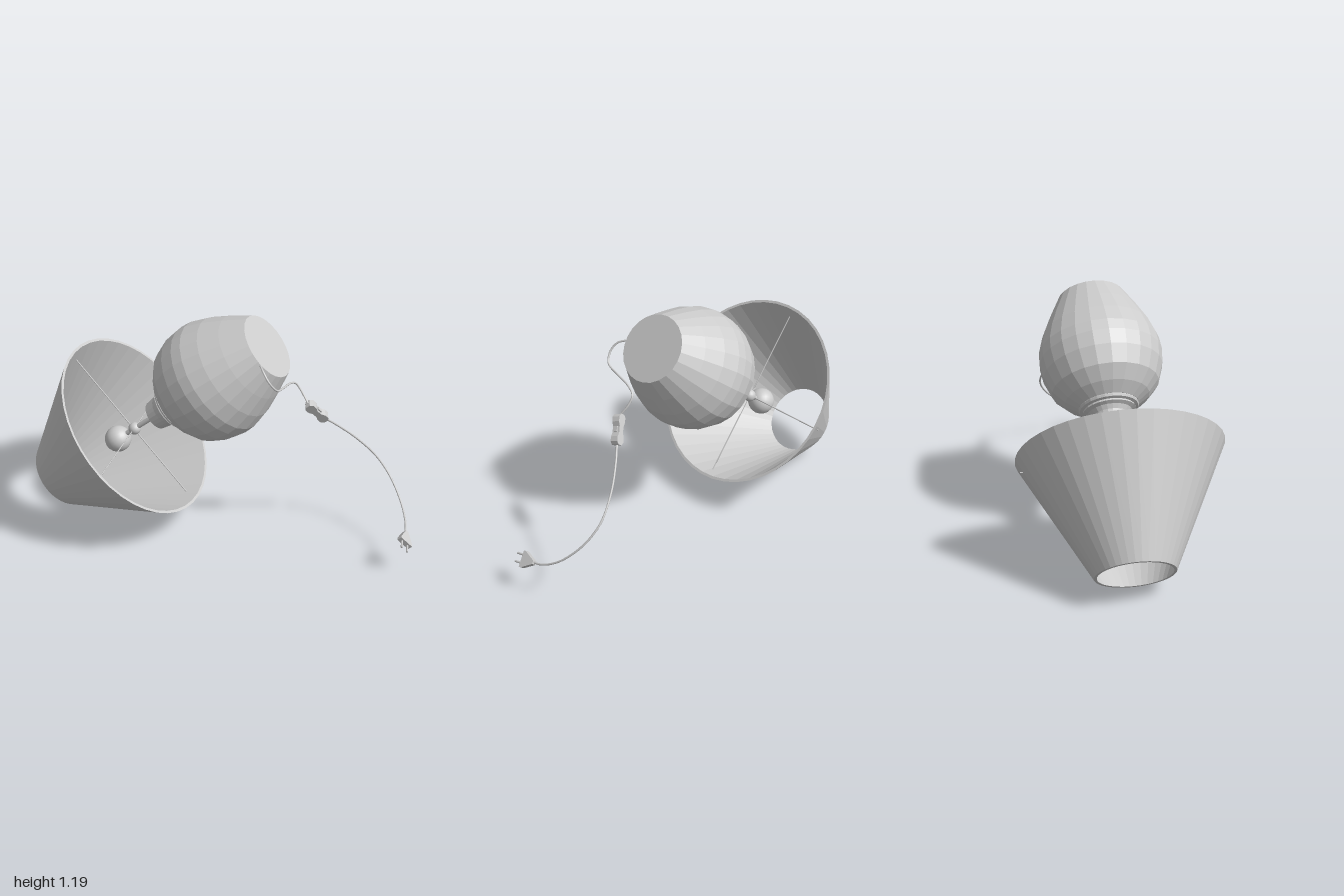
import * as THREE from 'three';

const grey = new THREE.MeshStandardMaterial({ color: 0xcccccc });
grey.name = 'light grey';
const V = (x, y, z) => new THREE.Vector3(x, y, z);

function add(parent, name, geometry, x = 0, y = 0, z = 0) {
  const mesh = new THREE.Mesh(geometry, grey);
  mesh.name = name;
  mesh.position.set(x, y, z);
  parent.add(mesh);
  return mesh;
}

// Gives every face its own flat normal
function faceted(geometry) {
  const g = geometry.index ? geometry.toNonIndexed() : geometry;
  g.computeVertexNormals();
  return g;
}

const lathe = (points, sides) =>
  faceted(new THREE.LatheGeometry(points.map(([r, y]) => new THREE.Vector2(r, y)), sides));

// Group whose local y axis runs from one point towards another
function along(name, from, to) {
  const group = new THREE.Group();
  group.name = name;
  group.position.copy(from);
  group.quaternion.setFromUnitVectors(V(0, 1, 0), to.clone().sub(from).normalize());
  return group;
}

// Group with local x = width, y = forward, z = thickness
function framed(name, position, forward, width) {
  const group = new THREE.Group();
  group.name = name;
  group.position.copy(position);
  const y = forward.clone().normalize();
  const z = width.clone().cross(y).normalize();
  const x = y.clone().cross(z);
  group.quaternion.setFromRotationMatrix(new THREE.Matrix4().makeBasis(x, y, z));
  return group;
}

// Flat outline extruded evenly about z = 0
function plate(points, depth) {
  const shape = new THREE.Shape(points.map(([x, y]) => new THREE.Vector2(x, y)));
  return new THREE.ExtrudeGeometry(shape, { depth, bevelEnabled: false }).translate(0, 0, -depth / 2);
}

const cord = (points) =>
  new THREE.TubeGeometry(new THREE.CatmullRomCurve3(points.map((p) => V(...p))), 64, 0.005, 8);

export function createModel() {
  const model = new THREE.Group();
  model.name = 'tableLamp';

  // Vase-shaped foot, seen from its base along the lamp axis
  const lamp = along('lamp', V(0.225, 1.065, -0.02), V(-0.8775, 0.145, -0.012));
  model.add(lamp);
  add(lamp, 'body', lathe([
    [0, 0], [0.164, 0], [0.222, 0.109], [0.267, 0.205], [0.294, 0.29], [0.298, 0.345],
    [0.289, 0.417], [0.257, 0.502], [0.202, 0.561], [0.145, 0.6], [0, 0.6],
  ], 24));
  add(lamp, 'neck', lathe([
    [0, 0.59], [0.14, 0.59], [0.145, 0.604], [0.14, 0.614], [0.125, 0.618], [0.128, 0.628],
    [0.108, 0.636], [0.093, 0.655], [0.083, 0.685], [0.075, 0.74], [0, 0.74],
  ], 24));

  // Stem, socket and bulb
  add(lamp, 'stem', new THREE.CylinderGeometry(0.013, 0.013, 0.3, 12), 0, 0.86, 0);
  add(lamp, 'socket', new THREE.SphereGeometry(0.032, 16, 12), 0, 0.895, 0);
  add(lamp, 'bulb', new THREE.SphereGeometry(0.068, 20, 14), 0, 1.016, 0);

  // Four wires that carry the shade
  for (let i = 0; i < 4; i++) {
    const arm = new THREE.Group();
    arm.name = 'shadeArm';
    arm.rotation.y = i * Math.PI / 2;
    add(arm, 'armWire', new THREE.CylinderGeometry(0.003, 0.003, 0.456, 6).rotateZ(Math.PI / 2), 0.228, 0.9, 0);
    lamp.add(arm);
  }

  // Open cone shade with a thin wall
  const shade = along('shade', V(-0.8775, 0.145, -0.015), V(-0.44, 0.53, 0));
  model.add(shade);
  add(shade, 'shadeWall', lathe([
    [0.186, 0], [0.489, 0.583], [0.476, 0.583], [0.173, 0], [0.186, 0],
  ], 40));

  // Cord from the base to the switch, then on to the plug
  add(model, 'upperCord', cord([
    [0.238, 1.045, 0.143], [0.262, 1.03, 0.175], [0.295, 0.99, 0.192], [0.326, 0.945, 0.172],
    [0.338, 0.923, 0.1], [0.352, 0.905, 0.01], [0.367, 0.88, -0.034], [0.395, 0.84, -0.036],
    [0.435, 0.788, -0.015],
  ]));
  add(model, 'lowerCord', cord([
    [0.5, 0.7, -0.068], [0.56, 0.635, -0.122], [0.64, 0.55, -0.178], [0.73, 0.455, -0.212],
    [0.79, 0.39, -0.205], [0.85, 0.32, -0.17], [0.91, 0.245, -0.1], [0.945, 0.2, -0.02],
    [0.955, 0.184, 0.045],
  ]));

  // Waisted inline switch with a rocker
  const unit = framed('switch', V(0.47, 0.742, -0.043), V(0.08, -0.105, -0.065), V(0.73, 0.68, 0));
  model.add(unit);
  const half = [[0.012, -0.072], [0.024, -0.058], [0.024, -0.035], [0.015, -0.015],
    [0.015, 0.015], [0.024, 0.035], [0.024, 0.058], [0.012, 0.072]];
  add(unit, 'switchBody', plate([...half, ...half.map(([x, y]) => [-x, y]).reverse()], 0.038));
  add(unit, 'rocker', new THREE.BoxGeometry(0.008, 0.026, 0.016), 0.017, 0, 0);

  // Flat triangular plug with two pins
  const plug = framed('plug', V(0.955, 0.184, 0.04), V(0.15, -0.17, 0.93), V(0.64, -0.7, -0.3));
  model.add(plug);
  add(plug, 'plugBody', plate([[-0.008, -0.012], [0.008, -0.012], [0.04, 0.05], [0.04, 0.062],
    [-0.04, 0.062], [-0.04, 0.05]], 0.026));
  for (const side of [-1, 1]) {
    add(plug, 'pin', new THREE.CylinderGeometry(0.005, 0.005, 0.045, 8), side * 0.02, 0.082, 0);
  }
  return model;
}
